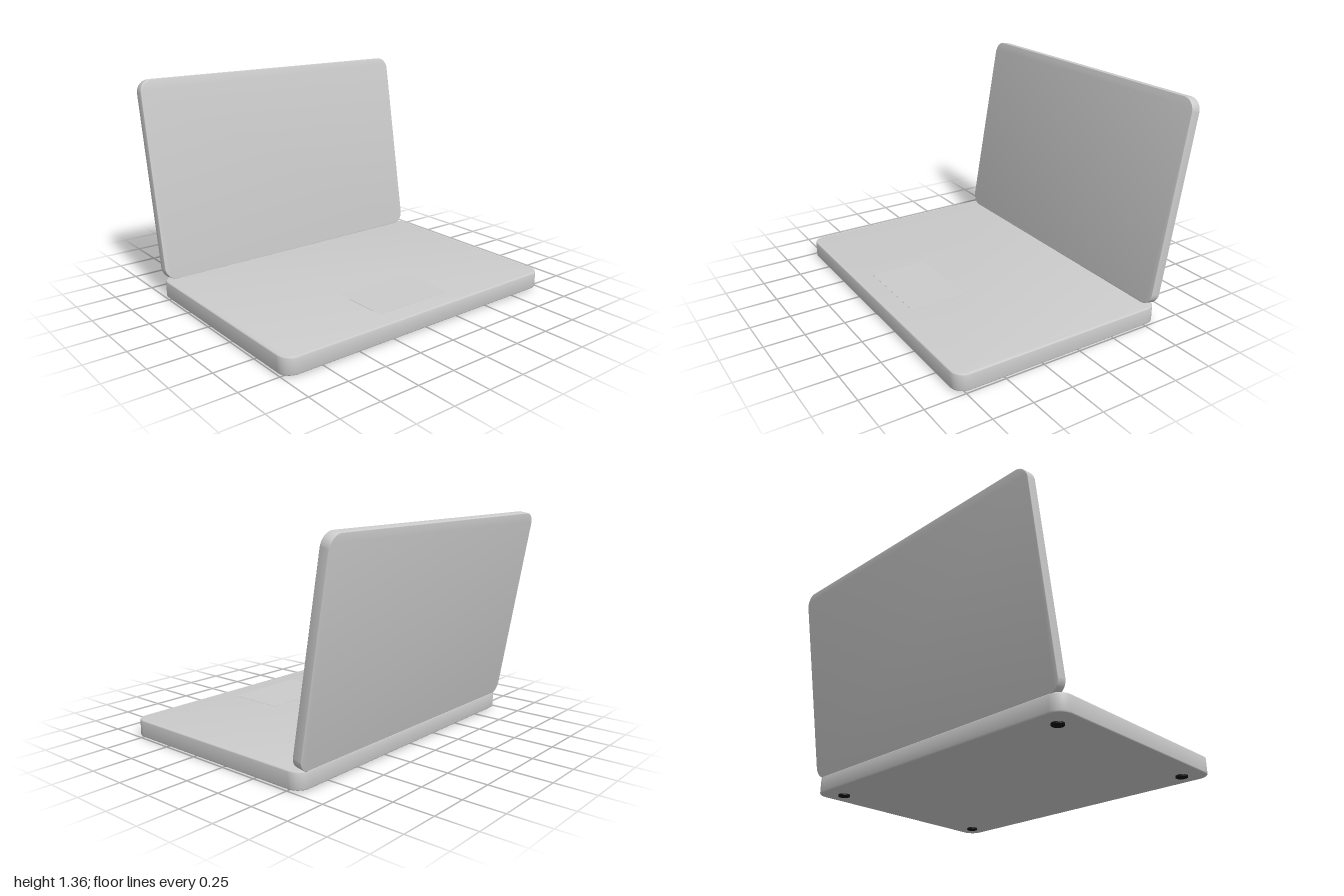
import * as THREE from 'three';
import { toCreasedNormals } from 'three/addons/utils/BufferGeometryUtils.js';

const grey = new THREE.MeshStandardMaterial({ color: 0xcccccc });
const black = new THREE.MeshStandardMaterial({ color: 0x111111 });

// Rounded slab centred on the origin: w along x, h along y, d along z
function slab(w, h, d, radius, bevel) {
  const x = w / 2 - bevel, y = h / 2 - bevel, r = radius - bevel;
  const shape = new THREE.Shape();
  shape.absarc(x - r, y - r, r, 0, Math.PI / 2);
  shape.absarc(-x + r, y - r, r, Math.PI / 2, Math.PI);
  shape.absarc(-x + r, -y + r, r, Math.PI, Math.PI * 1.5);
  shape.absarc(x - r, -y + r, r, Math.PI * 1.5, Math.PI * 2);
  const geo = new THREE.ExtrudeGeometry(shape, {
    depth: d - 2 * bevel, curveSegments: 10,
    bevelEnabled: bevel > 0, bevelSize: bevel, bevelThickness: bevel, bevelSegments: 3,
  });
  geo.translate(0, 0, bevel - d / 2);
  return toCreasedNormals(geo, 0.6);
}

export function createModel() {
  const model = new THREE.Group();
  model.name = 'laptop';
  const add = (name, geo, material, x, y, z) => {
    const mesh = new THREE.Mesh(geo, material);
    mesh.name = name;
    mesh.position.set(x, y, z);
    model.add(mesh);
    return mesh;
  };

  // Base body, front edge at z = 0.805
  add('base', slab(2, 1.395, 0.106, 0.08, 0.008).rotateX(-Math.PI / 2), grey, 0, 0.063, 0.1075);

  // Touch pad, barely proud of the deck
  add('touchPad', new THREE.BoxGeometry(0.54, 0.004, 0.365), grey, 0, 0.115, 0.4975);

  // Lid, leaning back from its lower front edge
  const lidHeight = 1.263, lidDepth = 0.06;
  const lidGeo = slab(1.988, lidHeight, lidDepth, 0.08, 0.003);
  lidGeo.translate(0, lidHeight / 2, -lidDepth / 2);
  const lid = add('lid', lidGeo, grey, 0, 0.115, -0.528);
  lid.rotation.x = -THREE.MathUtils.degToRad(9.9);

  // Four rubber feet
  const footGeo = new THREE.CylinderGeometry(0.036, 0.036, 0.014, 24);
  for (const x of [-0.87, 0.87])
    for (const z of [-0.46, 0.675]) add('foot', footGeo, black, x, 0.007, z);

  return model;
}
